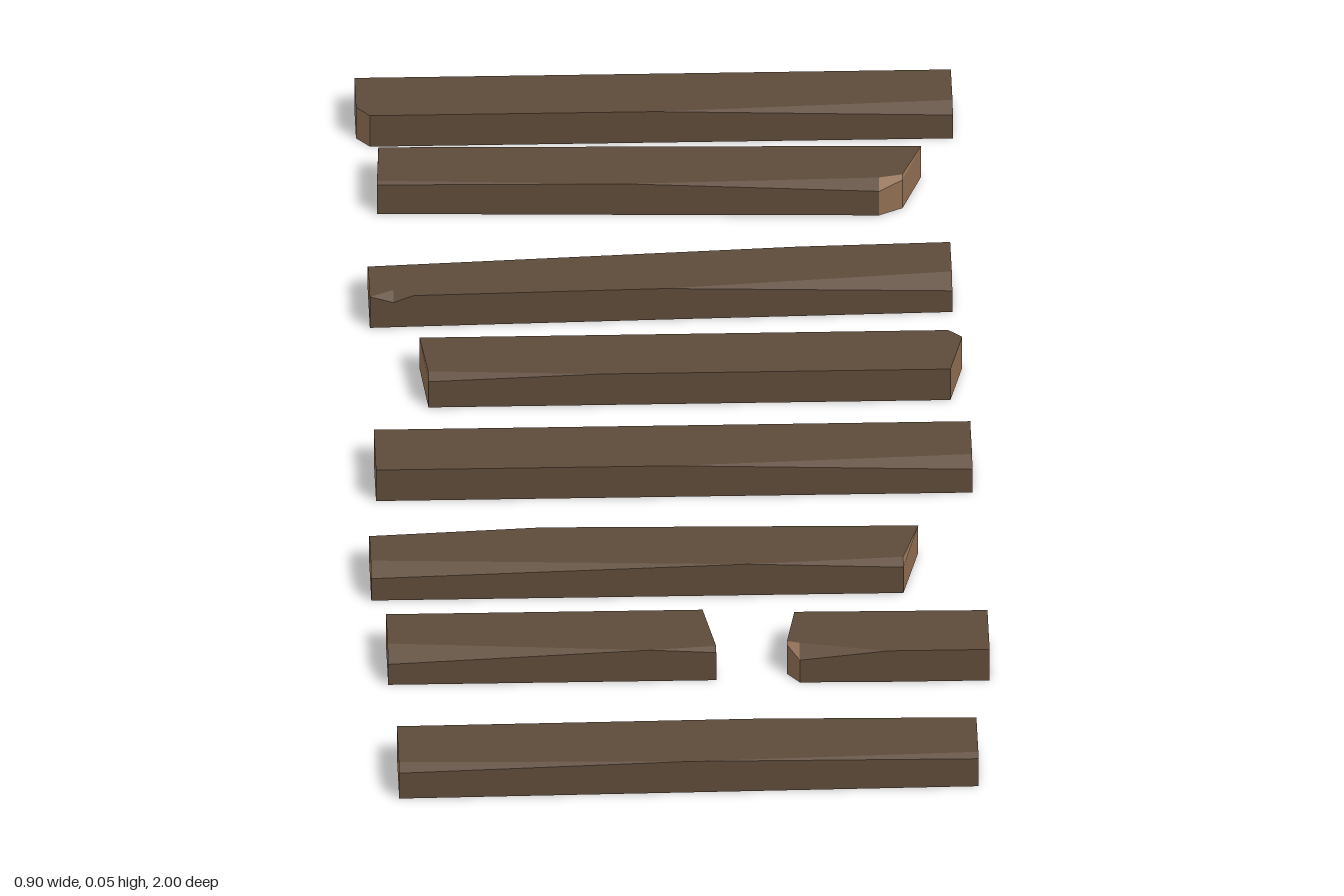
import * as THREE from 'three';

const HEIGHT = 0.053;

// Each board: outline corners [x, z, worn edge inset], from back left, clockwise from above
const BOARDS = [
  [[-0.44, -1], [0.44, -1], [0.44, -0.89, 0.022], [0, -0.89], [-0.42, -0.89], [-0.44, -0.915]],
  [[-0.41, -0.81, 0.012], [0.39, -0.78], [0.36, -0.69, 0.008], [0.325, -0.67, 0.02], [-0.05, -0.682], [-0.415, -0.695, 0.006]],
  [[-0.435, -0.475, 0.022], [0.2, -0.493], [0.425, -0.5], [0.425, -0.387, 0.028], [0, -0.377], [-0.37, -0.367], [-0.4, -0.366, 0.018], [-0.435, -0.365]],
  [[-0.365, -0.245], [0.415, -0.245], [0.435, -0.225], [0.415, -0.132], [-0.1, -0.132], [-0.355, -0.132, 0.015]],
  [[-0.44, 0.02], [0.44, 0.02], [0.44, 0.137, 0.022], [0, 0.137], [-0.44, 0.137]],
  [[-0.455, 0.31, 0.018], [-0.2, 0.31], [0.355, 0.31, 0.01], [0.33, 0.425, 0.015], [0.1, 0.425], [-0.455, 0.425, 0.026]],
  [[-0.437, 0.555], [0.03, 0.555], [0.047, 0.67, 0.01], [-0.05, 0.67], [-0.437, 0.67, 0.03]],
  [[0.165, 0.565], [0.45, 0.568], [0.45, 0.682], [0.3, 0.682], [0.17, 0.68, 0.025], [0.152, 0.655, 0.006]],
  [[-0.43, 0.88], [0.1, 0.873], [0.425, 0.87, 0.008], [0.425, 0.988, 0.01], [0, 0.994], [-0.43, 1, 0.016]],
];

// Hollow board: side walls, worn upper edge and top, open underneath
function boardGeometry(outline) {
  const midZ = outline.reduce((sum, p) => sum + p[1], 0) / outline.length;
  const rings = outline.map(([x, z, inset = 0]) => [
    [x, 0, z],
    [x, HEIGHT - inset * 0.6, z],
    [x, HEIGHT, z - Math.sign(z - midZ) * inset],
  ]);
  const wood = [], ends = [];
  const tri = (list, a, b, c) => list.push(...a, ...b, ...c);
  rings.forEach((a, i) => {
    const b = rings[(i + 1) % rings.length];
    const isEnd = Math.abs(b[0][2] - a[0][2]) > 0.5 * Math.abs(b[0][0] - a[0][0]);
    const list = isEnd ? ends : wood;
    for (let k = 0; k < 2; k++) {
      tri(list, b[k], a[k], a[k + 1]);
      tri(list, b[k], a[k + 1], b[k + 1]);
    }
    if (i > 0 && i < rings.length - 1) tri(wood, rings[0][2], b[2], a[2]);
  });
  const geometry = new THREE.BufferGeometry();
  geometry.setAttribute('position', new THREE.Float32BufferAttribute([...wood, ...ends], 3));
  geometry.addGroup(0, wood.length / 3, 0);
  geometry.addGroup(wood.length / 3, ends.length / 3, 1);
  geometry.computeVertexNormals();
  return geometry;
}

export function createModel() {
  const group = new THREE.Group();
  group.name = 'plankPath';
  const bark = new THREE.MeshStandardMaterial({ color: 0x5d4a39, side: THREE.DoubleSide, flatShading: true });
  bark.name = 'weathered wood';
  const cut = new THREE.MeshStandardMaterial({ color: 0x8f6d51, side: THREE.DoubleSide, flatShading: true });
  cut.name = 'cut wood';
  BOARDS.forEach((outline, i) => {
    const board = new THREE.Mesh(boardGeometry(outline), [bark, cut]);
    board.name = `plank${i + 1}`;
    group.add(board);
  });
  return group;
}
